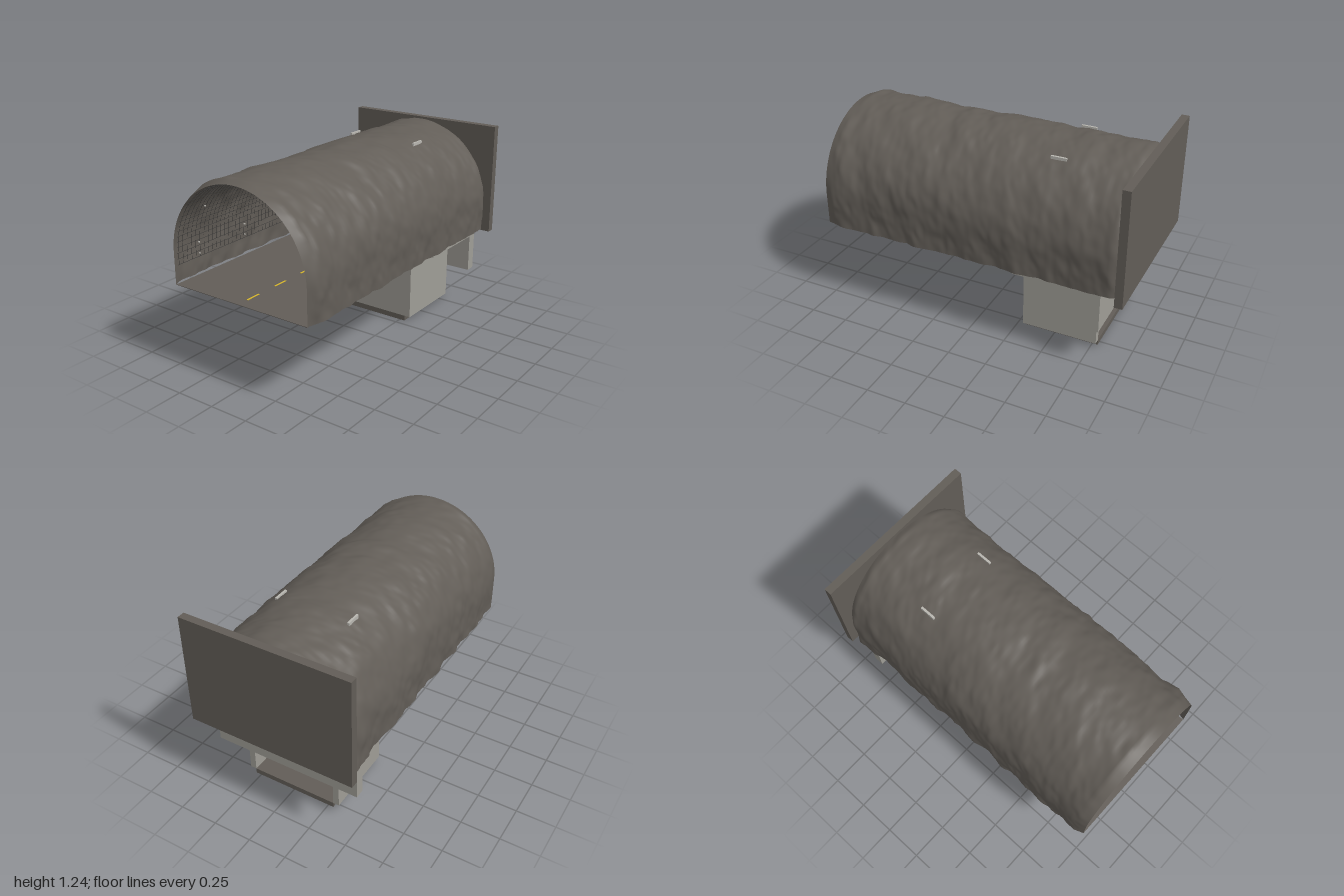
import * as THREE from 'three';
import { mergeGeometries } from 'three/addons/utils/BufferGeometryUtils.js';

const FLOOR = 0.525, SPRING = 0.725, R = 0.487;
const Z_FRONT = 1, Z_BACK = -0.95, PIT_F = -0.3, PIT_B = -0.785;

const mat = (name, color, extra = {}) => {
  const m = new THREE.MeshStandardMaterial({ color, ...extra });
  m.name = name;
  return m;
};

// Point and outward direction on the tunnel profile, t = 0 (right foot) to 1 (left foot)
function profile(t, r) {
  const side = SPRING - FLOOR, arc = Math.PI * R, s = t * (arc + 2 * side);
  if (s < side) return { x: -r, y: FLOOR + s, nx: -1, ny: 0 };
  if (s > side + arc) return { x: r, y: SPRING - (s - side - arc), nx: 1, ny: 0 };
  const a = Math.PI - (s - side) / R;
  return { x: r * Math.cos(a), y: SPRING + r * Math.sin(a), nx: Math.cos(a), ny: Math.sin(a) };
}

// Smooth seeded value noise
function hash(i, j) {
  const v = Math.sin(i * 127.1 + j * 311.7) * 43758.5453;
  return v - Math.floor(v);
}
function noise(x, y) {
  const i = Math.floor(x), j = Math.floor(y);
  const ease = f => f * f * (3 - 2 * f);
  const fx = ease(x - i), fy = ease(y - j), mix = THREE.MathUtils.lerp;
  return mix(mix(hash(i, j), hash(i + 1, j), fx), mix(hash(i, j + 1), hash(i + 1, j + 1), fx), fy);
}

// Rough rock lining, pushed outward and fading to a clean edge at both ends
function rockShell() {
  const g = new THREE.PlaneGeometry(1, 1, 90, 130), p = g.attributes.position;
  for (let i = 0; i < p.count; i++) {
    const t = p.getX(i) + 0.5;
    const z = THREE.MathUtils.lerp(Z_FRONT, Z_BACK, p.getY(i) + 0.5);
    const fade = Math.min(1, (Z_FRONT - z) / 0.06, (z - Z_BACK) / 0.04);
    const n = 0.5 * noise(t * 10, z * 9 + t * 4) + 0.3 * noise(t * 22 + 7, z * 17) + 0.2 * noise(t * 40, z * 34 + 5);
    const top = 1 - 0.25 * Math.sin(Math.PI * t);
    const d = fade * top * (0.004 + 0.04 * n);
    const q = profile(t, R);
    p.setXYZ(i, q.x + q.nx * d, q.y + q.ny * d, z);
  }
  g.computeVertexNormals();
  return g;
}

// Wire mesh pinned against the lining
function wireMesh() {
  const parts = [], r = R - 0.006, t0 = 0.06;
  const path = [];
  for (let i = 0; i <= 32; i++) {
    const q = profile(t0 + (1 - 2 * t0) * i / 32, r);
    path.push(new THREE.Vector3(q.x, q.y, 0));
  }
  const hoop = new THREE.TubeGeometry(new THREE.CatmullRomCurve3(path), 40, 0.0012, 3);
  for (let z = 0.97; z > Z_BACK; z -= 0.035) parts.push(hoop.clone().translate(0, 0, z));
  for (let i = 0; i <= 48; i++) {
    const q = profile(t0 + (1 - 2 * t0) * i / 48, r);
    parts.push(new THREE.BoxGeometry(0.002, 0.002, 1.92).translate(q.x, q.y, 0.02));
  }
  return mergeGeometries(parts);
}

export function createModel() {
  const model = new THREE.Group();
  model.name = 'tunnelWithPit';
  const rock = mat('rock', 0x625d57);
  const lining = mat('rockLining', 0x625d57, { side: THREE.DoubleSide });
  const concrete = mat('concrete', 0x9f9d96);
  const yellow = mat('safetyYellow', 0xd2b22c);
  const steel = mat('darkSteel', 0x3b3a39);
  const pale = mat('paleMetal', 0xb8b6b0);
  const rubbleMat = mat('rubble', 0x4c4844, { flatShading: true });

  const add = (name, geo, m) => {
    const mesh = new THREE.Mesh(geo, m);
    mesh.name = name;
    model.add(mesh);
    return mesh;
  };
  // Box given by its limits on each axis
  const box = (name, m, x0, x1, y0, y1, z0, z1) => add(name,
    new THREE.BoxGeometry(x1 - x0, y1 - y0, z1 - z0).translate((x0 + x1) / 2, (y0 + y1) / 2, (z0 + z1) / 2), m);
  // The same box on both sides
  const pair = (name, m, x0, x1, ...rest) => {
    box(name + 'Left', m, x0, x1, ...rest);
    box(name + 'Right', m, -x1, -x0, ...rest);
  };

  // Tunnel
  add('tunnelLining', rockShell(), lining);
  add('wireMesh', wireMesh(), steel);
  box('roadway', rock, -0.485, 0.485, FLOOR - 0.003, FLOOR, PIT_F, Z_FRONT);
  box('endWall', rock, -0.55, 0.55, 0.5, 1.235, -1, Z_BACK);
  for (let i = 0; i < 5; i++) {
    const z = 0.875 - i * 0.24;
    box('laneDash', yellow, -0.006, 0.006, FLOOR, FLOOR + 0.002, z - 0.05, z + 0.05);
  }

  // Pit shaft, open at the back
  box('shaftFloor', rock, -0.285, 0.285, 0, 0.035, PIT_B, PIT_F);
  pair('shaftWall', concrete, 0.285, 0.325, 0.035, 0.5, PIT_B, PIT_F);
  box('shaftFrontWall', concrete, -0.285, 0.285, 0.035, 0.5, PIT_F - 0.04, PIT_F);
  pair('apron', concrete, 0.31, 0.49, 0.5, 0.545, PIT_B, PIT_F);
  box('apronFront', concrete, -0.31, 0.31, 0.5, FLOOR, PIT_F - 0.04, PIT_F);
  box('rearBeam', concrete, -0.49, 0.49, 0.255, 0.53, -0.85, PIT_B);

  // Grating over the pit
  const bars = [];
  for (let i = 0; i <= 12; i++)
    bars.push(new THREE.BoxGeometry(0.01, 0.014, 0.445).translate(-0.285 + i * 0.0475, 0.515, -0.5625));
  for (let i = 0; i <= 9; i++)
    bars.push(new THREE.BoxGeometry(0.58, 0.014, 0.01).translate(0, 0.515, -0.345 - i * 0.048));
  add('pitGrating', mergeGeometries(bars), steel);

  // Rubble lying on the grating: x, z, radius, height
  [[-0.06, -0.5, 0.055, 0.07], [0.03, -0.55, 0.06, 0.06], [0.19, -0.52, 0.075, 0.08],
    [0.12, -0.62, 0.06, 0.045], [-0.02, -0.66, 0.06, 0.045]].forEach(([x, z, r, h], k) => {
    const g = new THREE.ConeGeometry(r, h, 6, 2).translate(0, h / 2, 0), p = g.attributes.position;
    for (let i = 0; i < p.count; i++) {
      const j = Math.round((Math.atan2(p.getZ(i), p.getX(i)) + 6.3) * 3);
      const f = 0.8 + 0.45 * hash(j, k + 3);
      p.setX(i, p.getX(i) * f);
      p.setZ(i, p.getZ(i) * f);
    }
    add('rubble', g, rubbleMat).position.set(x, 0.521, z);
  });

  // Striped wheel stop with marker posts
  box('wheelStop', concrete, -0.31, 0.31, FLOOR, 0.562, PIT_F - 0.04, PIT_F);
  for (let i = 0; i < 10; i++) {
    const x = -0.28 + i * 0.056;
    box('hazardStripe', i % 2 ? rock : yellow, x, x + 0.056, FLOOR + 0.001, 0.563, PIT_F, PIT_F + 0.004);
  }
  pair('markerPost', yellow, 0.307, 0.313, FLOOR, 0.63, PIT_F - 0.006, PIT_F);

  // Wall and roof fittings
  pair('roofLight', pale, 0.233, 0.247, 1.14, 1.188, -0.52, -0.42);
  pair('beaconBase', pale, 0.43, 0.45, 0.8, 0.822, -0.32, -0.3);
  pair('beaconLamp', yellow, 0.433, 0.447, 0.822, 0.842, -0.317, -0.303);
  box('wallSign', yellow, -0.467, -0.461, 0.71, 0.76, -0.15, -0.08);
  box('wallPanel', pale, 0.46, 0.464, 0.66, 0.76, -0.16, -0.08);
  for (const s of [-1, 1]) {
    const arm = add('bracketArm', new THREE.BoxGeometry(0.035, 0.008, 0.03), steel);
    arm.position.set(s * 0.295, 0.743, -0.935);
    arm.rotation.z = s * 0.46;
  }

  // Anchor plates following the lining
  const anchors = [[0.482, 0.66], [0.482, 0.73], [0.417, 0.968], [0.238, 1.143], [0, 1.206]];
  for (let z = 0.8; z > -0.9; z -= 0.4)
    for (const [x, y] of anchors)
      for (const s of x ? [-1, 1] : [1])
        add('anchorPlate', new THREE.BoxGeometry(0.008, 0.008, 0.008), pale).position.set(s * x, y, z);

  return model;
}
